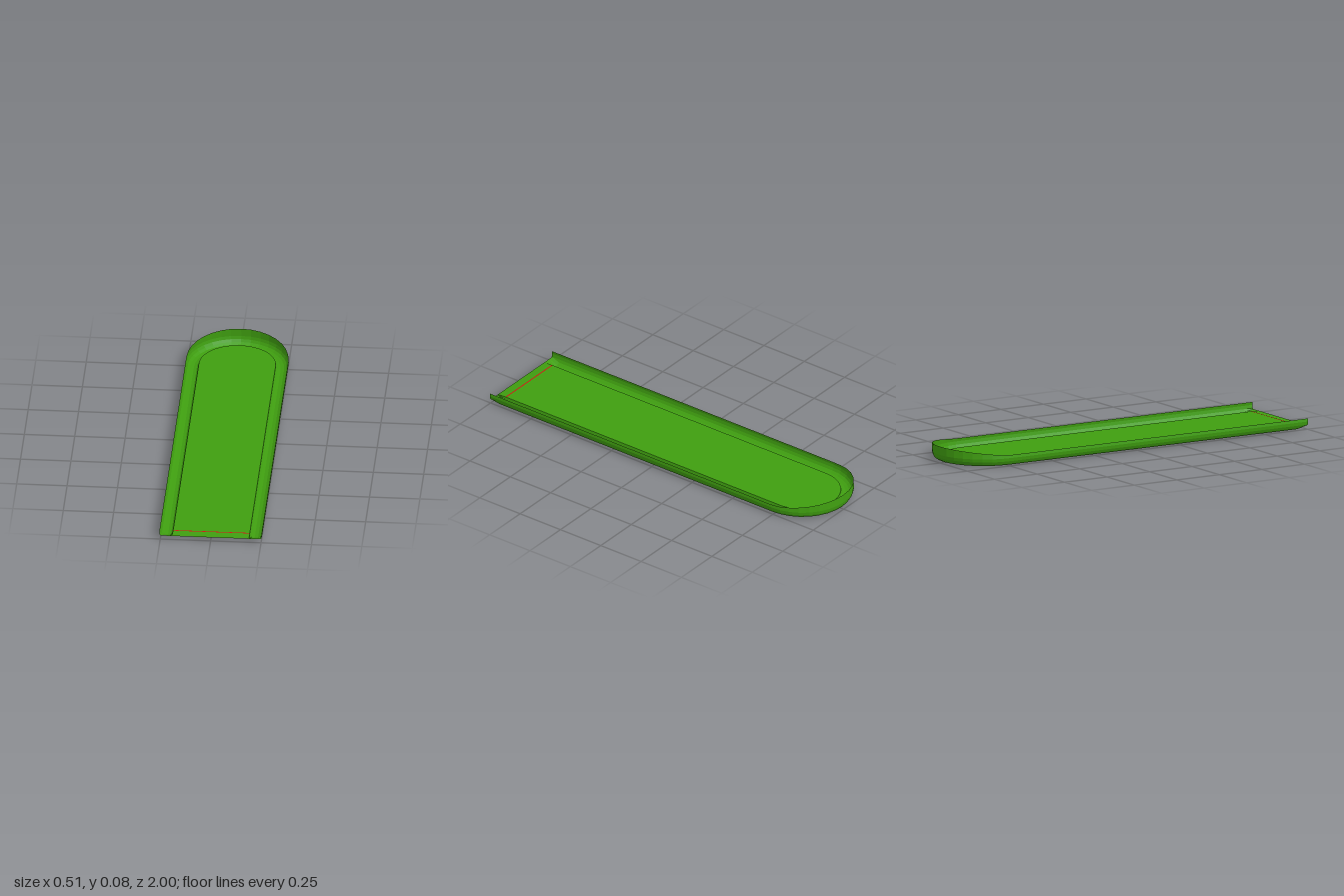
import * as THREE from 'three';

const FLOOR_Y = 0.023, INNER = 0.19, ARC_Z = -0.745, LIP_Z = 0.95;
const ARC_STEPS = 16;

// Rim cross-section: [distance from centre line, height]; the last point is the wall top
const PROFILE = [
  [INNER, FLOOR_Y], [0.193, 0.01], [0.2, 0.003], [0.215, 0], [0.232, 0.003],
  [0.245, 0.011], [0.252, 0.024], [0.255, 0.04], [0.253, 0.055],
];

// Wall top rises toward the rounded end
const wallTop = (z) => 0.055 + 0.027 * Math.max(0, (-0.77 - z) / 0.23);

// Sweeps the rim profile down one side, round the end and back
function rimGeometry() {
  const stations = [{ a: 0, z: 1 }, { a: 0, z: LIP_Z }];
  for (let i = 0; i <= ARC_STEPS; i++) stations.push({ a: Math.PI * i / ARC_STEPS, z: ARC_Z });
  stations.push({ a: Math.PI, z: LIP_Z }, { a: Math.PI, z: 1 });

  const n = PROFILE.length, pos = [], index = [];
  stations.forEach(({ a, z }, s) => {
    PROFILE.forEach(([r, h], p) => {
      const pz = z - r * Math.sin(a);
      let y = p === n - 1 ? wallTop(pz) : h;
      if (z === 1) y = p === 0 ? 0.02 : Math.max(y, 0.02); // gutter runs out at the open end
      pos.push(r * Math.cos(a), y, pz);
      if (s > 0 && p > 0) {
        const d = s * n + p, c = d - 1, b = d - n, e = c - n;
        index.push(e, b, d, e, d, c);
      }
    });
  });
  const g = new THREE.BufferGeometry();
  g.setAttribute('position', new THREE.Float32BufferAttribute(pos, 3));
  g.setIndex(index);
  g.computeVertexNormals();
  return g;
}

// Flat lane with a rounded far end
function floorGeometry() {
  const s = new THREE.Shape();
  s.moveTo(-INNER, -LIP_Z);
  s.lineTo(INNER, -LIP_Z);
  s.lineTo(INNER, -ARC_Z);
  s.absarc(0, -ARC_Z, INNER, 0, Math.PI, false);
  s.closePath();
  return new THREE.ShapeGeometry(s, ARC_STEPS).rotateX(-Math.PI / 2).translate(0, FLOOR_Y, 0);
}

// Short lip sloping down slightly to the open end
function lipGeometry() {
  const g = new THREE.PlaneGeometry(INNER * 2, 1 - LIP_Z).rotateX(-Math.PI / 2);
  g.translate(0, 0, (1 + LIP_Z) / 2);
  const p = g.attributes.position;
  for (let i = 0; i < p.count; i++) p.setY(i, p.getZ(i) > 0.99 ? 0.02 : FLOOR_Y);
  g.computeVertexNormals();
  return g;
}

export function createModel() {
  const green = new THREE.MeshStandardMaterial({ color: 0x3f9e10, side: THREE.DoubleSide, flatShading: true });
  green.name = 'turf green';
  const red = new THREE.MeshStandardMaterial({ color: 0xd01010, side: THREE.DoubleSide });
  red.name = 'line red';

  const group = new THREE.Group();
  group.name = 'lane';
  const add = (name, geometry, material) => {
    const m = new THREE.Mesh(geometry, material);
    m.name = name;
    group.add(m);
  };
  add('floor', floorGeometry(), green);
  add('frontLip', lipGeometry(), green);
  add('rim', rimGeometry(), green);

  // Thin marker line across the open end
  const line = new THREE.PlaneGeometry(INNER * 2, 0.006).rotateX(-Math.PI / 2);
  add('startLine', line.translate(0, FLOOR_Y + 0.0008, LIP_Z), red);
  return group;
}
